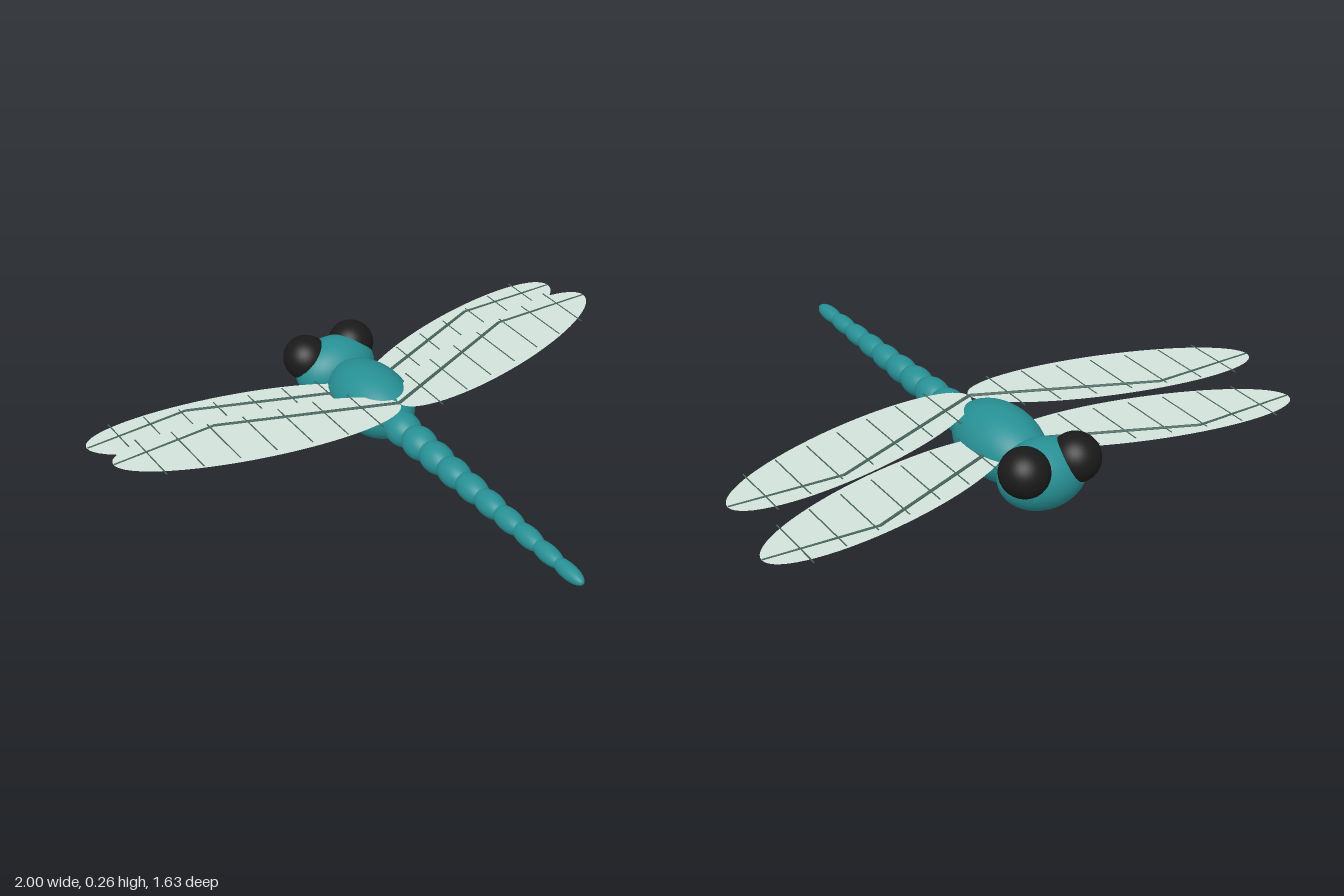
import * as THREE from 'three';

const mat = (name, color, side = THREE.FrontSide) => {
  const m = new THREE.MeshStandardMaterial({ color, side });
  m.name = name;
  return m;
};

export function createModel() {
  const model = new THREE.Group();
  model.name = 'dragonfly';
  const teal = mat('teal', 0x279095);
  const black = mat('black', 0x1a1a1a);
  const membraneMat = mat('pale wing', 0xd2e1d9, THREE.DoubleSide);
  const veinMat = mat('dark vein', 0x48665f);

  // Smooth ellipsoid from centre and half sizes
  const ellipsoid = (name, material, pos, half) => {
    const mesh = new THREE.Mesh(new THREE.SphereGeometry(1, 32, 24), material);
    mesh.name = name;
    mesh.position.set(...pos);
    mesh.scale.set(...half);
    model.add(mesh);
  };

  // Thin rod between two points
  const rod = (name, a, b, r0, r1) => {
    const dir = b.clone().sub(a);
    const mesh = new THREE.Mesh(new THREE.CylinderGeometry(r1, r0, dir.length(), 6), veinMat);
    mesh.name = name;
    mesh.position.copy(a).add(b).multiplyScalar(0.5);
    mesh.quaternion.setFromUnitVectors(new THREE.Vector3(0, 1, 0), dir.normalize());
    return mesh;
  };

  // Thorax, head and eyes
  ellipsoid('thorax', teal, [0, 0.125, -0.44], [0.132, 0.125, 0.21]);
  ellipsoid('head', teal, [0, 0.128, -0.69], [0.157, 0.117, 0.117]);
  for (const s of [1, -1]) {
    ellipsoid(s > 0 ? 'leftEye' : 'rightEye', black, [s * 0.097, 0.18, -0.732], [0.084, 0.083, 0.086]);
  }

  // Tapering abdomen of overlapping segments
  for (let i = 0; i < 10; i++) {
    const r = 0.064 - 0.004 * i;
    ellipsoid('abdomenSegment' + (i + 1), teal, [0, 0.11, -0.228 + 0.107 * i], [r, r * 0.98, 0.079]);
  }

  // One wing: slanted oval membrane, bent main vein and cross veins
  const wing = (name, s) => {
    const g = new THREE.Group();
    g.name = name;
    const outline = [];
    for (let i = 0; i < 64; i++) {
      const t = (i / 64) * Math.PI * 2;
      outline.push(new THREE.Vector2(s * (0.5 + 0.5 * Math.cos(t)), 0.115 * Math.cos(t) + 0.15 * Math.sin(t)));
    }
    const membrane = new THREE.Mesh(new THREE.ShapeGeometry(new THREE.Shape(outline)).rotateX(-Math.PI / 2), membraneMat);
    membrane.name = 'membrane';
    g.add(membrane);

    const v = (x, z) => new THREE.Vector3(s * x, 0, z);
    g.add(rod('mainVeinInner', v(0, 0.115), v(0.61, -0.13), 0.007, 0.006));
    g.add(rod('mainVeinOuter', v(0.605, -0.13), v(0.998, -0.115), 0.005, 0.003));
    for (let i = 1; i <= 7; i++) {
      const x = i / 8, z = -0.115 * (2 * x - 1);
      g.add(rod('crossVein', v(x, z - 0.12), v(x, z + 0.12), 0.0025, 0.0025));
    }
    return g;
  };

  for (const s of [1, -1]) {
    const side = s > 0 ? 'left' : 'right';
    const front = wing(side + 'FrontWing', s);
    front.position.set(0, 0.143, -0.59);
    const hind = wing(side + 'HindWing', s);
    hind.position.set(0, 0.207, -0.366);
    model.add(front, hind);
  }
  return model;
}
